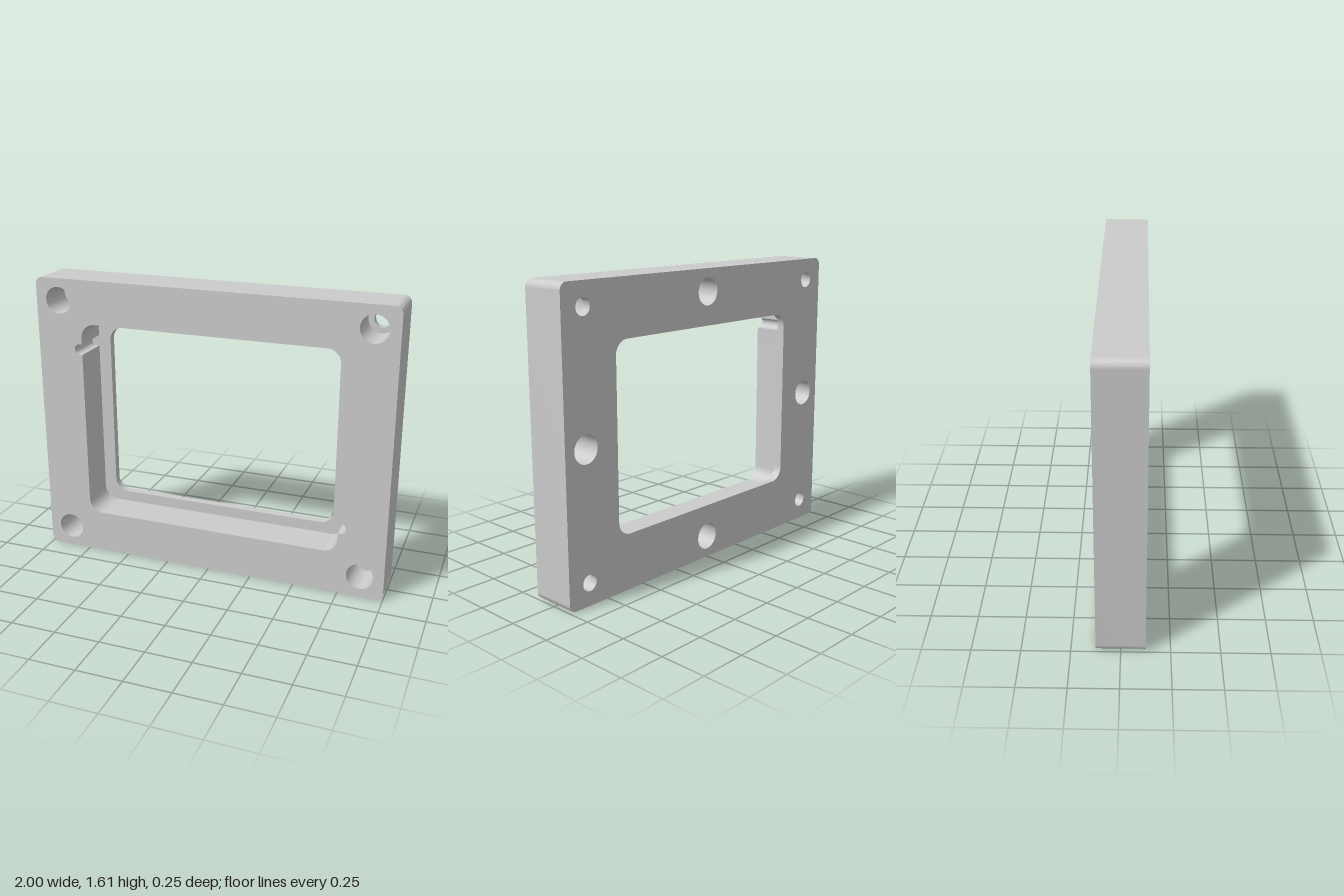
import * as THREE from 'three';
import { toCreasedNormals } from 'three/addons/utils/BufferGeometryUtils.js';

const SEG = 16;
const FRONT = 0.125, BACK = -0.125;
const LEDGE = -0.081;      // depth of the pocket and counterbores
const BLIND = 0.081;       // floor of the rear blind holes
const MID_Y = 0.805;

// Counter-clockwise rounded rectangle, optionally with a round key slot on two sides
function frameShape(w, h, r, notchY) {
  const s = new THREE.Shape(), q = Math.PI / 2;
  const side = (sign) => {
    if (notchY === undefined) return;
    const y = -sign * notchY, a = sign > 0 ? -q : q;
    s.lineTo(sign * w, y - sign * 0.03);
    s.absarc(sign * (w + 0.014), y, 0.03, a, a + Math.PI, false);
    s.lineTo(sign * w, y + sign * 0.03);
  };
  s.moveTo(-w + r, -h);
  s.lineTo(w - r, -h);
  s.absarc(w - r, -h + r, r, -q, 0, false);
  side(1);
  s.absarc(w - r, h - r, r, 0, q, false);
  s.absarc(-w + r, h - r, r, q, 2 * q, false);
  side(-1);
  s.absarc(-w + r, -h + r, r, 2 * q, 3 * q, false);
  return s;
}

function circle(x, y, r) {
  const s = new THREE.Shape();
  s.absarc(x, y, r, 0, Math.PI * 2, false);
  return s;
}

// Wall along an outline between two depths; inward turns it to face the inside
function wallGeometry(shape, z0, z1, inward) {
  const pts = shape.getPoints(SEG);
  if (inward) pts.reverse();
  const pos = [];
  pts.forEach((a, i) => {
    const b = pts[(i + 1) % pts.length];
    if (a.distanceTo(b) < 1e-5) return;
    pos.push(a.x, a.y, z0, b.x, b.y, z0, b.x, b.y, z1);
    pos.push(a.x, a.y, z0, b.x, b.y, z1, a.x, a.y, z1);
  });
  const g = new THREE.BufferGeometry();
  g.setAttribute('position', new THREE.Float32BufferAttribute(pos, 3));
  return toCreasedNormals(g, 0.6);
}

// Flat face with holes, facing the front or the back
function capGeometry(shape, holes, z, facesBack) {
  const s = shape.clone();
  s.holes = holes;
  const g = new THREE.ShapeGeometry(s, SEG);
  if (facesBack) {
    const index = g.index.array;
    for (let i = 0; i < index.length; i += 3) {
      [index[i], index[i + 1]] = [index[i + 1], index[i]];
    }
    g.computeVertexNormals();
  }
  return g.translate(0, 0, z);
}

export function createModel() {
  const model = new THREE.Group();
  model.name = 'mountingFrame';
  const material = new THREE.MeshStandardMaterial({ color: 0xcccccc });
  const add = (name, geometry) => {
    const mesh = new THREE.Mesh(geometry, material);
    mesh.name = name;
    mesh.position.y = MID_Y;
    model.add(mesh);
  };

  const outer = frameShape(1, 0.805, 0.04);
  const pocket = frameShape(0.737, 0.563, 0.08, 0.417);
  const opening = frameShape(0.665, 0.502, 0.075);
  const corners = [[-1, -1], [1, -1], [1, 1], [-1, 1]].map(([x, y]) => [x * 0.868, y * 0.683]);
  const bores = corners.map(([x, y]) => circle(x, y, 0.074));
  const screwHoles = corners.map(([x, y]) => circle(x, y, 0.044));
  const blindHoles = [[0, 0.683], [0, -0.683], [0.87, 0], [-0.87, 0]]
    .map(([x, y]) => circle(x, y, 0.074));

  // Plate faces and rim
  add('outerRim', wallGeometry(outer, BACK, FRONT, false));
  add('frontFace', capGeometry(outer, [pocket, ...bores], FRONT, false));
  add('backFace', capGeometry(outer, [opening, ...screwHoles, ...blindHoles], BACK, true));

  // Stepped window
  add('pocketWall', wallGeometry(pocket, LEDGE, FRONT, true));
  add('pocketLedge', capGeometry(pocket, [opening], LEDGE, false));
  add('openingWall', wallGeometry(opening, BACK, LEDGE, true));

  // Counterbored corner holes
  corners.forEach((_, i) => {
    add('counterboreWall', wallGeometry(bores[i], LEDGE, FRONT, true));
    add('counterboreFloor', capGeometry(bores[i], [screwHoles[i]], LEDGE, false));
    add('screwHoleWall', wallGeometry(screwHoles[i], BACK, LEDGE, true));
  });

  // Blind holes in the back
  blindHoles.forEach((hole) => {
    add('blindHoleWall', wallGeometry(hole, BACK, BLIND, true));
    add('blindHoleFloor', capGeometry(hole, [], BLIND, true));
  });
  return model;
}
